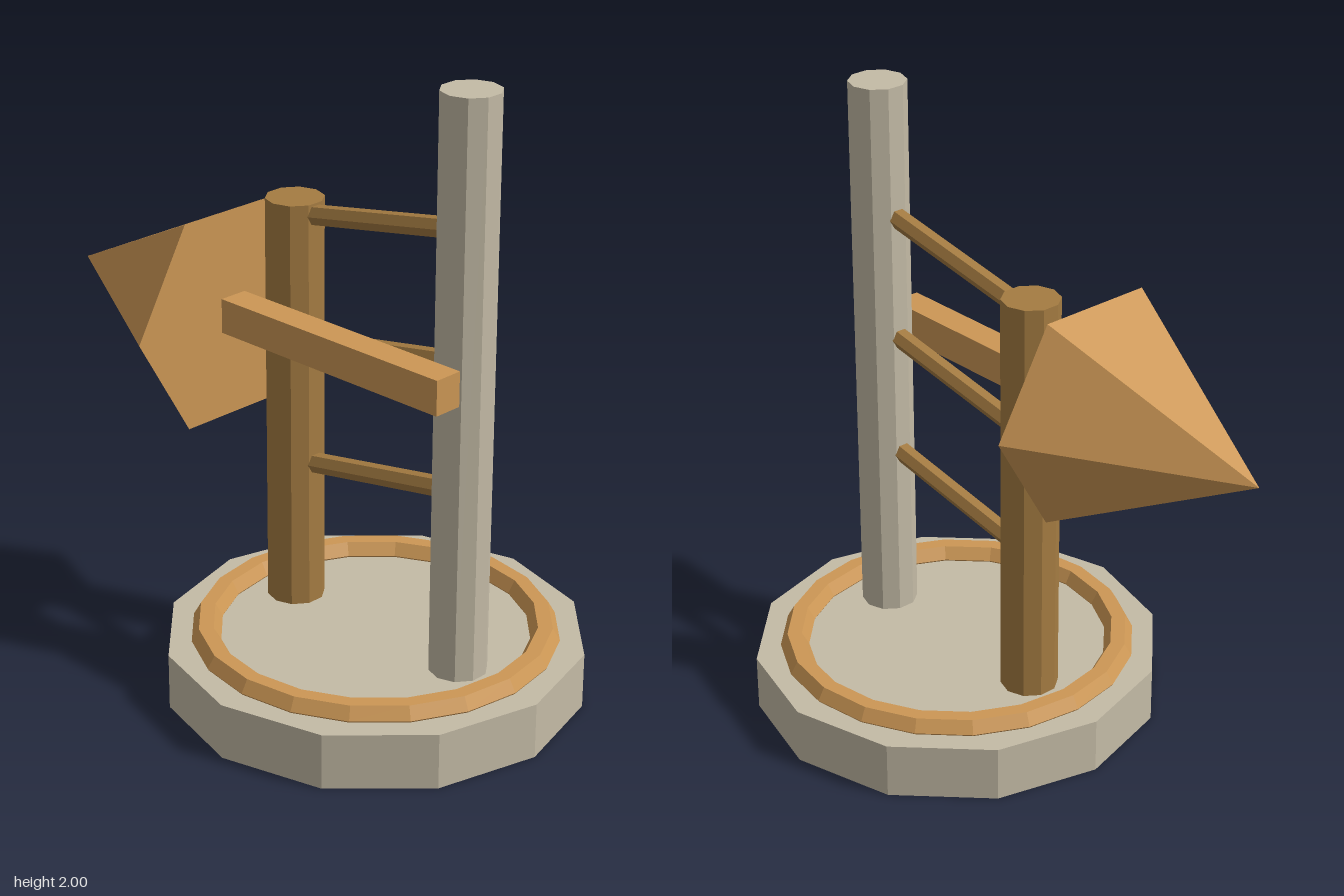
import * as THREE from 'three';

export function createModel() {
  const model = new THREE.Group();

  const paint = (name, color) => {
    const m = new THREE.MeshStandardMaterial({ color, flatShading: true });
    m.name = name;
    return m;
  };
  const stone = paint('pale stone', 0xc4bba6);
  const orange = paint('orange wood', 0xcc9755);
  const brown = paint('brown wood', 0xa57c42);

  const add = (name, geometry, material, x, y, z = 0) => {
    const mesh = new THREE.Mesh(geometry, material);
    mesh.name = name;
    mesh.position.set(x, y, z);
    model.add(mesh);
    return mesh;
  };

  // Twelve-sided base with a faceted ring set into its top
  const baseX = 0.243, baseTop = 0.18;
  add('base', new THREE.CylinderGeometry(0.657, 0.657, baseTop, 12), stone, baseX, baseTop / 2);
  const ring = new THREE.TorusGeometry(0.528, 0.046, 6, 20).rotateX(-Math.PI / 2);
  add('baseRing', ring, orange, baseX, 0.185);

  // Two upright posts
  const post = (name, x, top, material) => {
    const h = top - baseTop;
    add(name, new THREE.CylinderGeometry(0.091, 0.091, h, 10), material, x, baseTop + h / 2);
  };
  const shortX = -0.105, tallX = 0.588;
  post('shortPost', shortX, 1.515, brown);
  post('tallPost', tallX, 2, stone);

  // Three sloping rungs between the posts
  const slope = Math.atan(0.182);
  const rungLength = (tallX - shortX - 0.06) / Math.cos(slope);
  for (let i = 0; i < 3; i++) {
    const geometry = new THREE.CylinderGeometry(0.032, 0.032, rungLength, 6);
    const rung = add('rung' + (i + 1), geometry, brown, (shortX + tallX) / 2, 0.71 + i * 0.408);
    rung.rotation.z = slope - Math.PI / 2;
  }

  // Arrow in front of the posts: square shaft and six-sided head
  const arrowY = 1.153, arrowZ = 0.151;
  add('arrowShaft', new THREE.BoxGeometry(0.88, 0.11, 0.096), orange, 0.22, arrowY, arrowZ);
  const head = new THREE.ConeGeometry(0.382, 0.68, 6).rotateZ(Math.PI / 2);
  add('arrowHead', head, orange, -0.56, arrowY, arrowZ);

  return model;
}
